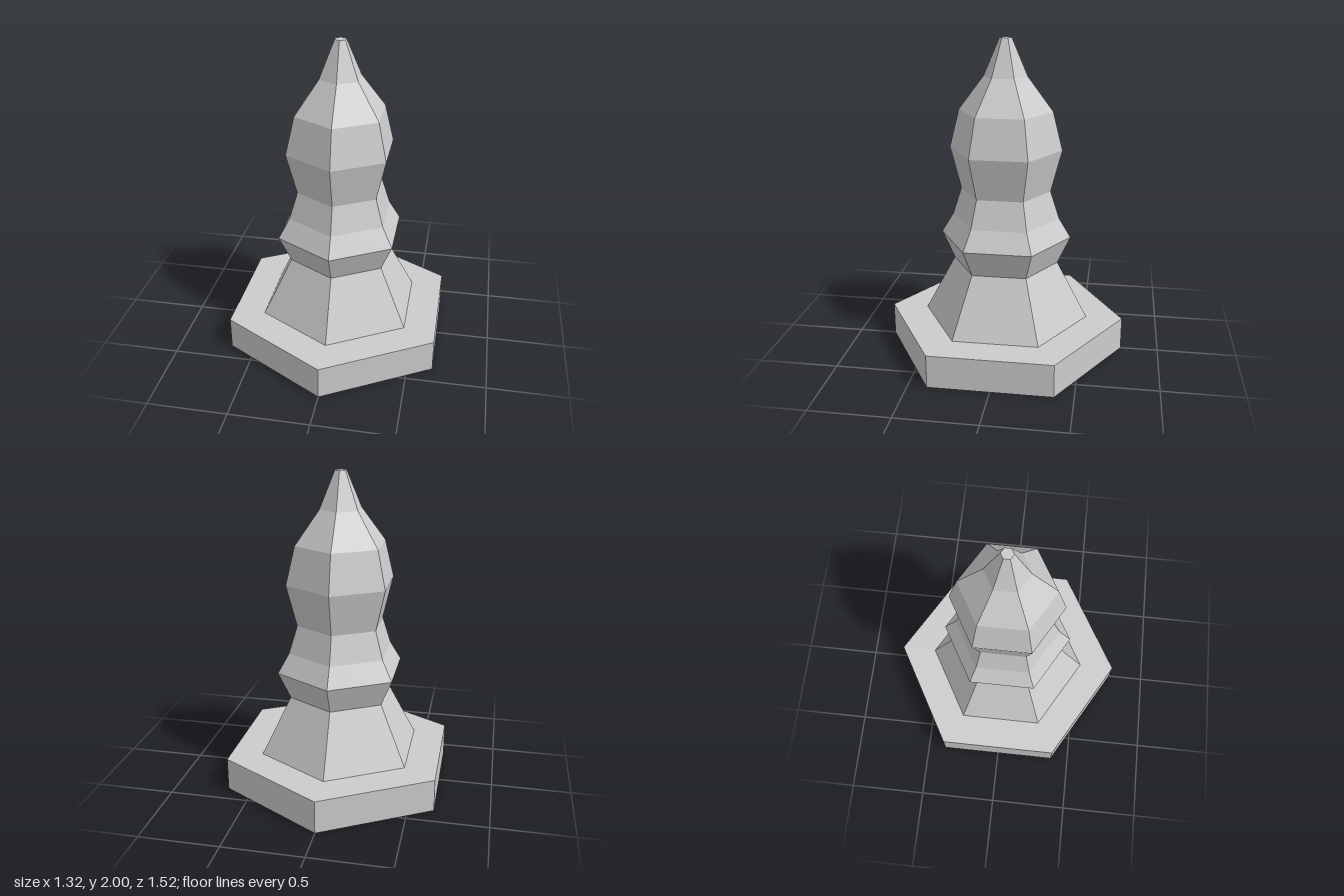
import * as THREE from 'three';

const SIDES = 6;

// Turned profile of the spire, [radius to corner, height], closed at the tip
const PROFILE = [
  [0.53, 0.21], [0.335, 0.58], [0.415, 0.755], [0.34, 0.88], [0.284, 1.055],
  [0.352, 1.32], [0.292, 1.56], [0.135, 1.77], [0.037, 2.0], [0, 2.0],
];

// Separate the faces so every facet is flat
function faceted(geometry) {
  const flat = geometry.toNonIndexed();
  flat.computeVertexNormals();
  return flat;
}

export function createModel() {
  const stone = new THREE.MeshStandardMaterial({ color: 0xcccccc, flatShading: true });
  stone.name = 'paleStone';

  const model = new THREE.Group();
  model.name = 'hexagonalFinial';

  // Hexagonal plinth, corners towards front and back
  const plinth = new THREE.Mesh(
    faceted(new THREE.CylinderGeometry(0.762, 0.762, 0.21, SIDES)), stone);
  plinth.name = 'plinth';
  plinth.position.y = 0.105;
  model.add(plinth);

  // Flared foot, collar, bulb and tapered tip
  const points = PROFILE.map(([r, y]) => new THREE.Vector2(r, y));
  const spire = new THREE.Mesh(faceted(new THREE.LatheGeometry(points, SIDES)), stone);
  spire.name = 'spire';
  model.add(spire);

  return model;
}
